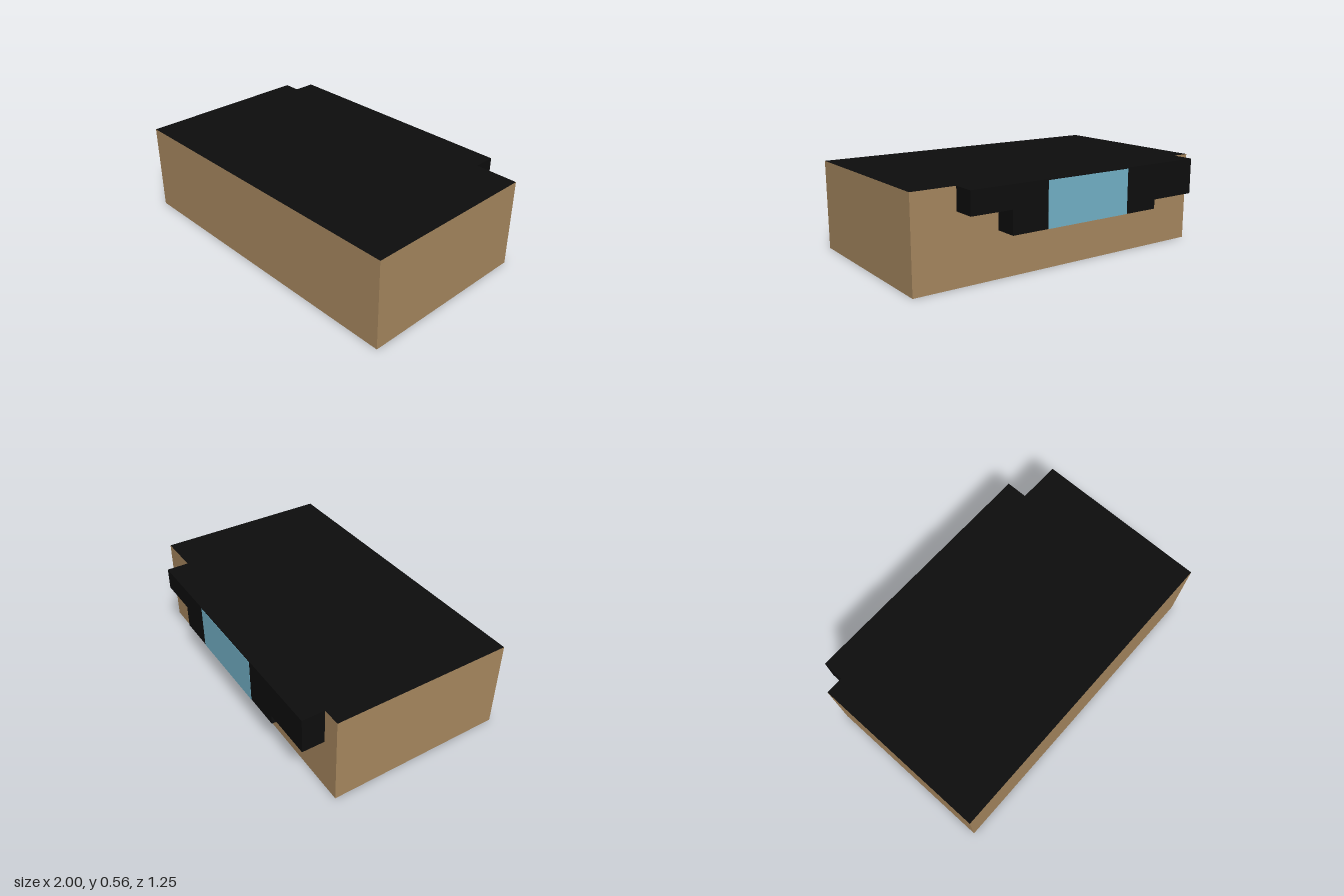
import * as THREE from 'three';

const paint = (color) => new THREE.MeshStandardMaterial({ color });

export function createModel() {
  const wood = paint(0xa5865e);
  const black = paint(0x0d0d0d);
  const red = paint(0x600606);
  const glass = paint(0x72b0c6);

  const top = 0.556;
  const wallZ = -0.487; // back wall of the main body
  const bayZ = -0.624; // back face of the bay

  const model = new THREE.Group();
  model.name = 'building';

  // Box from its limits, with separate side, top and bottom colours
  const block = (name, [x0, x1], [y0, y1], [z0, z1], side, cap, base, parent) => {
    const geometry = new THREE.BoxGeometry(x1 - x0, y1 - y0, z1 - z0);
    const mesh = new THREE.Mesh(geometry, [side, side, cap, base, side, side]);
    mesh.position.set((x0 + x1) / 2, (y0 + y1) / 2, (z0 + z1) / 2);
    mesh.name = name;
    parent.add(mesh);
  };

  // Main body: wooden walls, black roof, red floor
  block('mainBody', [-1, 1], [0, top], [wallZ, 0.624], wood, black, red, model);

  // Overhanging bay on the back wall, deeper in the middle
  const bay = new THREE.Group();
  bay.name = 'backBay';
  model.add(bay);
  const depth = [bayZ, wallZ];
  block('bayCentre', [-0.58, 0.47], [0.278, top], depth, black, black, red, bay);
  block('bayLeftWing', [0.47, 0.73], [0.42, top], depth, black, black, black, bay);
  block('bayRightWing', [-0.89, -0.58], [0.335, top], depth, black, black, black, bay);

  // Window pane set on the back of the bay
  block('window', [-0.35, 0.235], [0.278, 0.55], [bayZ - 0.002, bayZ], glass, glass, glass, bay);

  return model;
}
